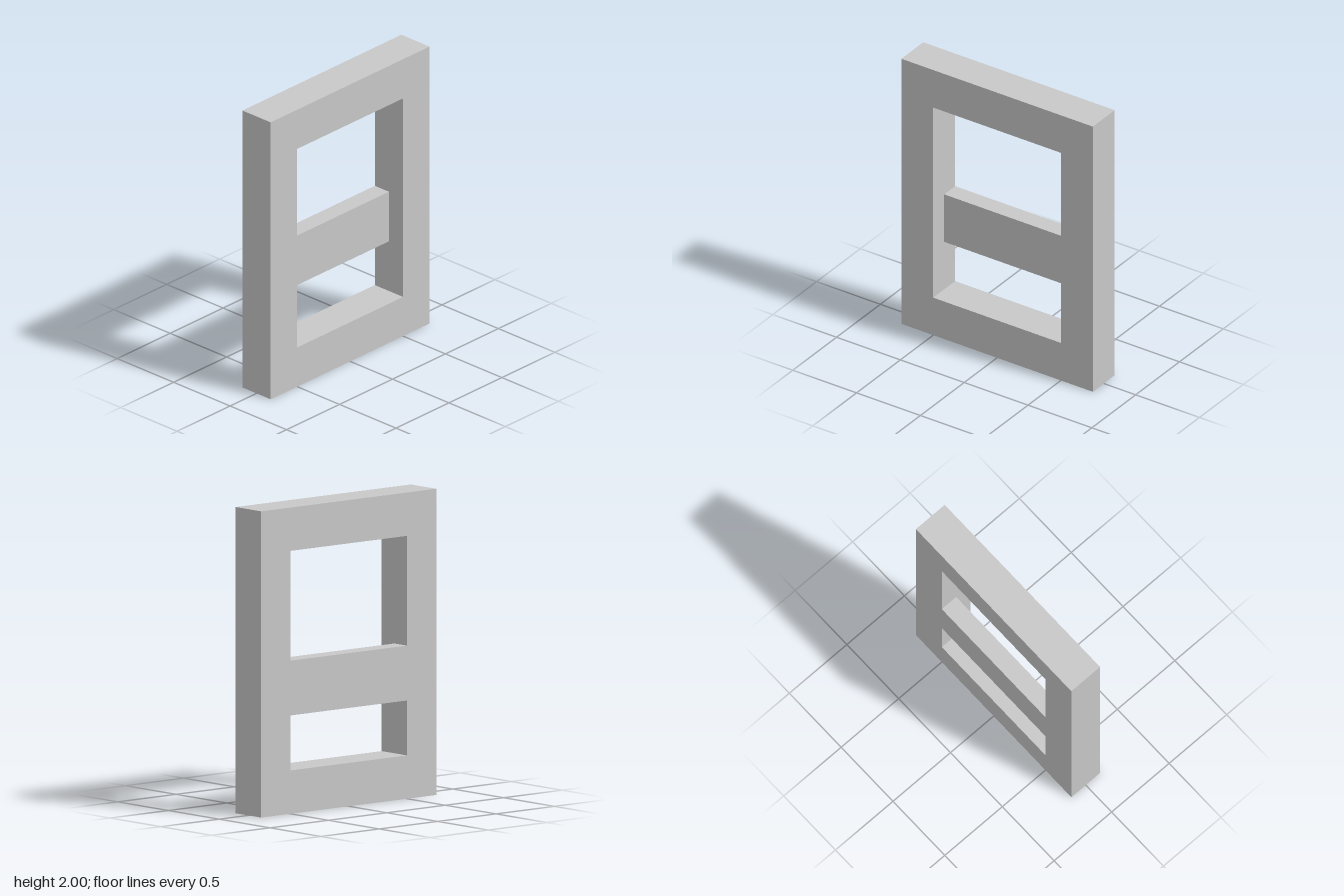
import * as THREE from 'three';

export function createModel() {
  const group = new THREE.Group();
  const grey = new THREE.MeshStandardMaterial({ color: 0xc8c8c8 });
  grey.name = 'lightGrey';

  const width = 1.5, height = 2, depth = 0.25;
  const openWidth = 1, openBottom = 0.283, openTop = 1.717;
  const barBottom = 0.642, barTop = 1;

  // Rectangle outline, centred on x
  const rectangle = (Path, w, y0, y1) => new Path([
    new THREE.Vector2(-w / 2, y0), new THREE.Vector2(w / 2, y0),
    new THREE.Vector2(w / 2, y1), new THREE.Vector2(-w / 2, y1),
  ]);

  // Upright frame with one large opening
  const outline = rectangle(THREE.Shape, width, 0, height);
  outline.holes.push(rectangle(THREE.Path, openWidth, openBottom, openTop));
  const frameGeometry = new THREE.ExtrudeGeometry(outline, { depth, bevelEnabled: false });
  frameGeometry.translate(0, 0, -depth / 2);
  const frame = new THREE.Mesh(frameGeometry, grey);
  frame.name = 'frame';
  group.add(frame);

  // Crossbar, half as deep as the frame and flush with its back
  const crossbar = new THREE.Mesh(
    new THREE.BoxGeometry(openWidth, barTop - barBottom, depth / 2), grey);
  crossbar.position.set(0, (barTop + barBottom) / 2, -depth / 4);
  crossbar.name = 'crossbar';
  group.add(crossbar);

  return group;
}
